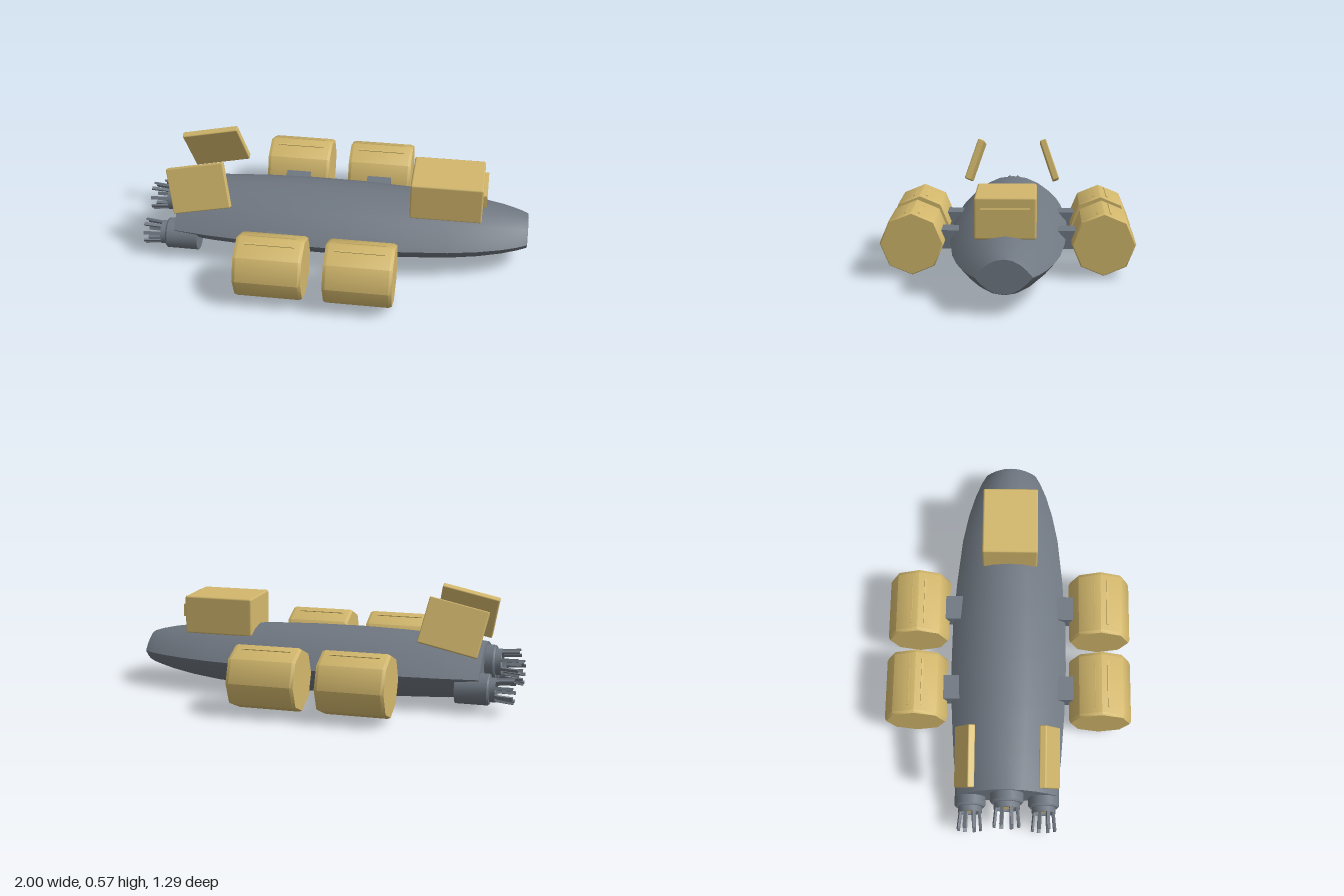
import * as THREE from 'three';
import { toCreasedNormals } from 'three/addons/utils/BufferGeometryUtils.js';
import { RoundedBoxGeometry } from 'three/addons/geometries/RoundedBoxGeometry.js';

const grey = new THREE.MeshStandardMaterial({ color: 0x6f7781 });
grey.name = 'hull grey';
const gold = new THREE.MeshStandardMaterial({ color: 0xd2b76c });
gold.name = 'foil gold';

const HULL_Y = 0.185;
// Hull stations: x, half width, top y, bottom y
const STATIONS = [
  [-0.83, 0.255, 0.318, 0.04], [-0.65, 0.277, 0.34, 0.025], [-0.4, 0.295, 0.354, 0.013],
  [-0.15, 0.304, 0.36, 0.006], [0.1, 0.302, 0.358, 0.006], [0.35, 0.286, 0.35, 0.013],
  [0.6, 0.26, 0.336, 0.028], [0.75, 0.23, 0.321, 0.046], [0.87, 0.195, 0.303, 0.068],
  [0.95, 0.162, 0.285, 0.088], [0.99, 0.14, 0.272, 0.1], [1.0, 0.132, 0.268, 0.104],
];
const SEG = 10;

// Point on the lens-shaped section; the two halves meet in a sharp side edge
function sectionPoint([x, w, top, bottom], a) {
  const c = Math.cos(a);
  const rise = 1 - Math.pow(Math.abs(c), 2.1);
  const h = a <= Math.PI ? top - HULL_Y : bottom - HULL_Y;
  return [x, HULL_Y + h * rise, w * c];
}

function hullHalf(start) {
  const pos = [], idx = [];
  STATIONS.forEach((s, i) => {
    for (let j = 0; j <= SEG; j++) {
      pos.push(...sectionPoint(s, start + (Math.PI * j) / SEG));
      if (i && j) {
        const d = i * (SEG + 1) + j, c = d - 1, b = d - SEG - 1, a = b - 1;
        idx.push(a, c, d, a, d, b);
      }
    }
  });
  return indexed(pos, idx);
}

function hullCap(station, facing) {
  const pos = [station[0], HULL_Y, 0], idx = [], n = SEG * 2;
  for (let j = 0; j < n; j++) {
    pos.push(...sectionPoint(station, (Math.PI * j) / SEG));
    const a = j + 1, b = ((j + 1) % n) + 1;
    idx.push(0, ...(facing > 0 ? [b, a] : [a, b]));
  }
  return indexed(pos, idx);
}

function indexed(pos, idx) {
  const g = new THREE.BufferGeometry();
  g.setAttribute('position', new THREE.Float32BufferAttribute(pos, 3));
  g.setIndex(idx);
  g.computeVertexNormals();
  return g;
}

function add(parent, name, geometry, material, x = 0, y = 0, z = 0) {
  const m = new THREE.Mesh(geometry, material);
  m.name = name;
  m.position.set(x, y, z);
  parent.add(m);
  return m;
}

// Turned body along x; profile is [radius, x] running from front to rear
function turned(profile, sides, crease) {
  const g = new THREE.LatheGeometry(profile.map(([r, x]) => new THREE.Vector2(r, -x)), sides);
  g.rotateZ(Math.PI / 2);
  return toCreasedNormals(g, crease);
}

// Octagonal tank with a narrow bevel and two strips along its top
function tank(x, z) {
  const g = new THREE.Group();
  g.name = 'tank';
  g.position.set(x, 0.182, z);
  const r = 0.162, h = 0.172;
  add(g, 'tankBody', turned(
    [[0, h], [r - 0.007, h], [r, h - 0.016], [r, -h + 0.016], [r - 0.007, -h], [0, -h]], 8, 0.85), gold);
  for (const s of [-1, 1]) {
    const strip = add(g, 'tankStrip', new THREE.BoxGeometry(0.25, 0.008, 0.01), gold, 0, r - 0.014, s * 0.035);
    strip.rotation.x = s * Math.PI / 8;
  }
  return g;
}

// Engine housing with a gold nozzle inside a ring of prongs
function engine(y, z, r) {
  const g = new THREE.Group();
  g.name = 'engine';
  g.position.set(0, y, z);
  add(g, 'engineHousing', turned(
    [[0, -0.71], [r, -0.71], [r, -0.872], [r - 0.006, -0.88], [r - 0.018, -0.88],
      [r - 0.018, -0.91], [r - 0.03, -0.91], [r - 0.03, -0.885], [0, -0.885]], 16, 0.6), grey);
  add(g, 'engineNozzle', turned([[0, -0.88], [r - 0.034, -0.88], [r - 0.04, -0.9], [0, -0.9]], 12, 0.6), gold);
  for (let i = 0; i < 8; i++) {
    const spoke = new THREE.Group();
    spoke.name = 'prongMount';
    spoke.rotation.x = ((i + 0.5) * Math.PI) / 4;
    const prong = add(spoke, 'prong', new THREE.BoxGeometry(0.11, 0.01, 0.017), grey, -0.945, r - 0.023, 0);
    prong.rotation.z = -0.1;
    g.add(spoke);
  }
  return g;
}

export function createModel() {
  const model = new THREE.Group();
  model.name = 'spacecraft';

  // Hull
  add(model, 'upperHull', hullHalf(0), grey);
  add(model, 'lowerHull', hullHalf(Math.PI), grey);
  add(model, 'noseCap', hullCap(STATIONS[STATIONS.length - 1], 1), grey);
  add(model, 'tailCap', hullCap(STATIONS[0], -1), grey);

  // Cabin box on the foredeck with a raised front panel
  add(model, 'deckBox', new RoundedBoxGeometry(0.37, 0.2, 0.292, 1, 0.01), gold, 0.575, 0.402, 0);
  add(model, 'deckBoxPanel', new THREE.BoxGeometry(0.03, 0.065, 0.23), gold, 0.765, 0.419, 0);

  for (const s of [-1, 1]) {
    // Side tanks on short struts
    for (const [tankX, strutX] of [[-0.27, -0.265], [0.18, 0.183]]) {
      model.add(tank(tankX, s * 0.483));
      add(model, 'tankStrut', new THREE.BoxGeometry(0.13, 0.095, 0.13), grey, strutX, 0.183, s * 0.29);
    }
    // Leaning tail panels
    const fin = add(model, 'tailPanel', new RoundedBoxGeometry(0.307, 0.238, 0.036, 1, 0.006), gold,
      -0.692, 0.434, s * 0.213);
    fin.rotation.set(-s * 0.33, 0, 0.213, 'ZYX');
    // Outer engines
    model.add(engine(0.124, s * 0.19, 0.08));
  }
  // Centre engine
  model.add(engine(0.222, 0, 0.086));

  return model;
}
